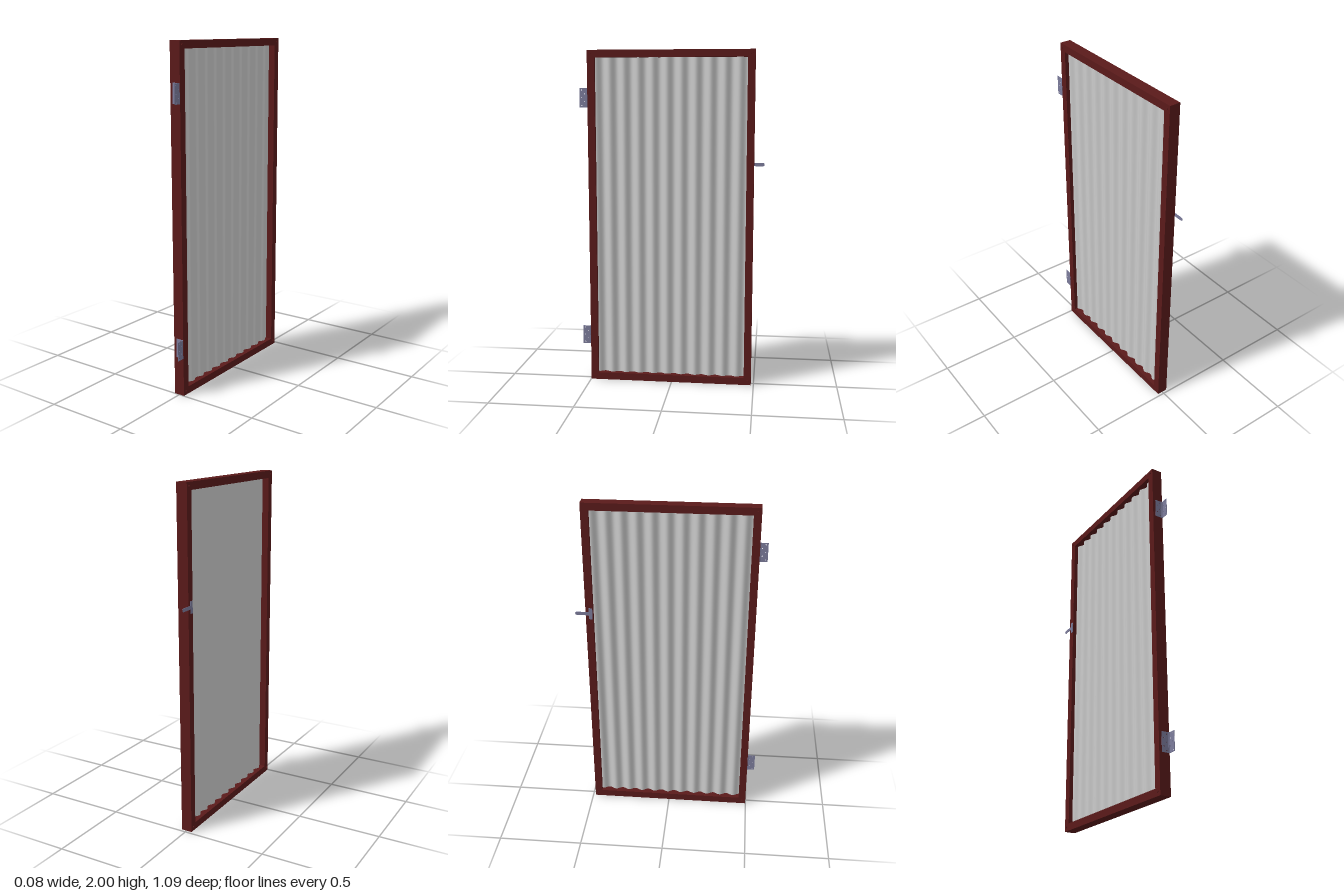
import * as THREE from 'three';

const frameMat = new THREE.MeshStandardMaterial({ color: 0x5a1a1a });
const panelMat = new THREE.MeshStandardMaterial({ color: 0xcccccc, side: THREE.DoubleSide });
const metalMat = new THREE.MeshStandardMaterial({ color: 0x7c7c9c });

// Frame limits: depth X, near and far ends, height, rail width
const X = 0.0325, Z0 = -0.484, Z1 = 0.498, H = 2, W = 0.043;
const MID = (Z0 + Z1) / 2;

function add(parent, name, geometry, material, x = 0, y = 0, z = 0) {
  const mesh = new THREE.Mesh(geometry, material);
  mesh.name = name;
  mesh.position.set(x, y, z);
  parent.add(mesh);
  return mesh;
}

// Mitred bar: outer edge of the given length on top, extruded through the frame depth
function mitredBar(length) {
  const s = new THREE.Shape([
    new THREE.Vector2(-length / 2, 0),
    new THREE.Vector2(-length / 2 + W, -W),
    new THREE.Vector2(length / 2 - W, -W),
    new THREE.Vector2(length / 2, 0),
  ]);
  return new THREE.ExtrudeGeometry(s, { depth: 2 * X, bevelEnabled: false })
    .translate(0, 0, -X);
}

function makeFrame() {
  const frame = new THREE.Group();
  frame.name = 'frame';
  const bars = [
    ['topRail', Z1 - Z0, 0, H, MID],
    ['bottomRail', Z1 - Z0, Math.PI, 0, MID],
    ['backStile', H, -Math.PI / 2, H / 2, Z0],
    ['frontStile', H, Math.PI / 2, H / 2, Z1],
  ];
  for (const [name, length, turn, y, z] of bars) {
    // Turn within the frame plane, then swing that plane onto z-y
    const g = mitredBar(length).rotateZ(turn).rotateY(Math.PI / 2);
    add(frame, name, g, frameMat, 0, y, z);
  }
  // Corner bolts passing through the frame
  for (const y of [0.024, H - 0.022])
    for (const z of [Z0 + 0.02, Z1 - 0.02]) {
      add(frame, 'cornerBolt', new THREE.CylinderGeometry(0.0045, 0.0045, 0.076, 12).rotateZ(Math.PI / 2), frameMat, 0, y, z);
      for (const side of [-1, 1])
        add(frame, 'boltHead', new THREE.CylinderGeometry(0.006, 0.006, 0.004, 6).rotateZ(Math.PI / 2), frameMat, side * 0.035, y, z);
    }
  return frame;
}

// Corrugated sheet held in the middle of the frame
function makePanel() {
  const width = Z1 - Z0 - 2 * W + 0.02, height = H - 2 * W + 0.02;
  const g = new THREE.PlaneGeometry(width, height, 176, 1).rotateY(Math.PI / 2);
  const p = g.attributes.position;
  for (let i = 0; i < p.count; i++)
    p.setX(i, 0.009 * Math.sin((p.getZ(i) + MID - 0.01) * 2 * Math.PI / 0.085));
  g.computeVertexNormals();
  const mesh = new THREE.Mesh(g, panelMat);
  mesh.name = 'corrugatedPanel';
  mesh.position.set(0, H / 2, MID);
  return mesh;
}

// Hinge leaf with staggered screw holes, starting at x = 0
function leaf(width, height) {
  const s = new THREE.Shape();
  s.moveTo(0, -height / 2);
  s.lineTo(width, -height / 2);
  s.lineTo(width, height / 2);
  s.lineTo(0, height / 2);
  s.closePath();
  for (let i = 0; i < 5; i++) {
    const hole = new THREE.Path();
    hole.absarc(width * (i % 2 ? 0.3 : 0.7), (i - 2) * height * 0.2, 0.003, 0, Math.PI * 2, true);
    s.holes.push(hole);
  }
  return new THREE.ExtrudeGeometry(s, { depth: 0.002, bevelEnabled: false, curveSegments: 8 });
}

function makeHinge(y) {
  const hinge = new THREE.Group();
  hinge.name = 'hinge';
  hinge.position.set(0, y, Z1);
  const h = 0.112;
  add(hinge, 'fixedLeaf', leaf(0.044, h), metalMat, -0.016);
  add(hinge, 'openLeaf', leaf(0.045, h).rotateY(-Math.PI / 2), metalMat, 0.0325, 0, 0.002);
  add(hinge, 'hingePin', new THREE.CylinderGeometry(0.003, 0.003, h, 12), metalMat, 0.029, 0, 0.003);
  return hinge;
}

// Flat T-shaped latch: a mounting bar with a round-ended tongue
function makeLatch() {
  const s = new THREE.Shape();
  s.moveTo(0, -0.035);
  s.lineTo(0.022, -0.035);
  s.lineTo(0.022, -0.01);
  s.lineTo(0.091, -0.01);
  s.absarc(0.091, 0, 0.01, -Math.PI / 2, Math.PI / 2, false);
  s.lineTo(0.022, 0.01);
  s.lineTo(0.022, 0.035);
  s.lineTo(0, 0.035);
  s.closePath();
  const g = new THREE.ExtrudeGeometry(s, { depth: 0.0025, bevelEnabled: false, curveSegments: 10 });
  const mesh = new THREE.Mesh(g.rotateY(Math.PI / 2), metalMat);
  mesh.name = 'latch';
  mesh.position.set(-X - 0.0022, 1.335, -0.444);
  return mesh;
}

export function createModel() {
  const door = new THREE.Group();
  door.name = 'corrugatedDoor';
  door.add(makeFrame(), makePanel(), makeHinge(0.284), makeHinge(1.724), makeLatch());
  return door;
}
